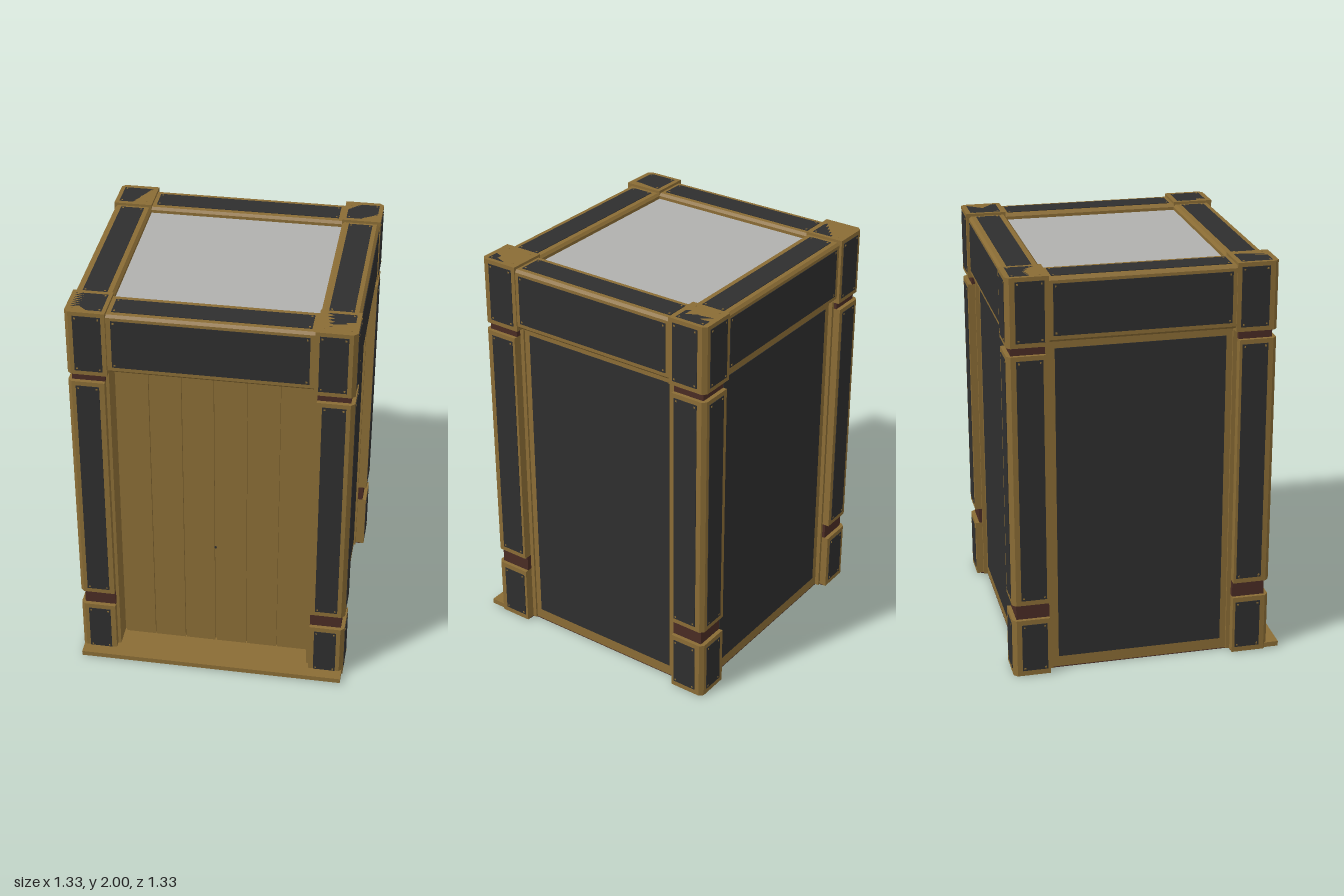
import * as THREE from 'three';

const mat = (name, color) => {
  const m = new THREE.MeshStandardMaterial({ color });
  m.name = name;
  return m;
};

export function createModel() {
  const gold = mat('bronze gold', 0x8a6c35);
  const dark = mat('charcoal panel', 0x2e2e2e);
  const brown = mat('dark brown', 0x4a2c24);
  const grey = mat('pale grey roof', 0xb0b0ae);

  const root = new THREE.Group();
  root.name = 'booth';
  // The body is centred on its own axis; the door sill reaches further forward
  const body = new THREE.Group();
  body.name = 'body';
  body.position.z = -0.03;
  root.add(body);

  const add = (parent, name, geometry, material) => {
    const m = new THREE.Mesh(geometry, material);
    m.name = name;
    parent.add(m);
    return m;
  };

  // Box from its minimum and maximum corners, given per axis
  const box = (parent, name, material, xs, ys, zs) => {
    const s = [xs, ys, zs].map(([a, b]) => Math.abs(b - a));
    const c = [xs, ys, zs].map(([a, b]) => (a + b) / 2);
    const m = add(parent, name, new THREE.BoxGeometry(...s), material);
    m.position.set(...c);
    return m;
  };

  // Thin dark plate facing +z, with a rivet in each corner
  const rivetGeo = new THREE.BoxGeometry(0.008, 0.008, 0.004);
  const panel = (parent, name, w, h, x, y, z, rx, ry, rivets = true) => {
    const g = new THREE.Group();
    g.name = name;
    add(g, 'panelPlate', new THREE.BoxGeometry(w, h, 0.005), dark);
    if (rivets) {
      for (const i of [-1, 1]) for (const j of [-1, 1]) {
        add(g, 'rivet', rivetGeo, gold).position.set(i * (w / 2 - 0.012), j * (h / 2 - 0.012), 0.002);
      }
    }
    g.position.set(x, y, z);
    g.rotation.set(rx, ry, 0);
    parent.add(g);
  };

  // Post block with a chamfered outer corner
  const postBlock = (parent, sx, sz, xi, zi, y0, y1) => {
    const xo = 0.663, zo = 0.635, c = 0.018;
    const pts = [[xi, zi], [xo, zi], [xo, zo - c], [xo - c, zo], [xi, zo]];
    const shape = new THREE.Shape(pts.map(([x, z]) => new THREE.Vector2(x * sx, -z * sz)));
    const geo = new THREE.ExtrudeGeometry(shape, { depth: y1 - y0, bevelEnabled: false });
    geo.rotateX(-Math.PI / 2);
    add(parent, 'postBlock', geo, gold).position.y = y0;
  };

  // Four corner posts: foot, shaft and cap joined by recessed necks
  const sections = [
    { y: [0.003, 0.3], py: [0.03, 0.275], xi: 0.49, zi: 0.455, px: 0.515, pz: 0.468 },
    { y: [0.38, 1.63], py: [0.405, 1.608], xi: 0.49, zi: 0.455, px: 0.515, pz: 0.468 },
    { y: [1.67, 2.0], py: [1.692, 1.98], xi: 0.475, zi: 0.437, px: 0.495, pz: 0.458 },
  ];
  for (const sx of [-1, 1]) for (const sz of [-1, 1]) {
    const post = new THREE.Group();
    post.name = 'cornerPost';
    body.add(post);
    for (const s of sections) {
      postBlock(post, sx, sz, s.xi, s.zi, ...s.y);
      const h = s.py[1] - s.py[0], y = (s.py[0] + s.py[1]) / 2;
      const w = 0.625 - s.px, d = 0.592 - s.pz;
      panel(post, 'postPanel', w, h, sx * (0.625 + s.px) / 2, y, sz * 0.635, 0, sz > 0 ? 0 : Math.PI);
      panel(post, 'postSidePanel', d, h, sx * 0.663, y, sz * (0.592 + s.pz) / 2, 0, sx * Math.PI / 2);
    }
    panel(post, 'postTopPanel', 0.15, 0.15, sx * 0.568, 2 - 0.0025, sz * 0.535, -Math.PI / 2, 0);
    for (const ys of [[0.3, 0.38], [1.63, 1.67]]) {
      box(post, 'postNeck', brown, [sx * 0.49, sx * 0.645], ys, [sz * 0.455, sz * 0.615]);
    }
    box(post, 'postCore', gold, [sx * 0.475, sx * 0.62], [0.003, 1.67], [sz * 0.435, sz * 0.6]);
  }

  // Walls: gold core with one large dark panel on the sides and back
  box(body, 'wallCore', gold, [-0.61, 0.61], [0.004, 1.69], [-0.58, 0.485]);
  for (const sx of [-1, 1]) {
    panel(body, 'sideWallPanel', 0.81, 1.58, sx * 0.61, 0.85, 0, 0, sx * Math.PI / 2, false);
  }
  panel(body, 'backWallPanel', 0.88, 1.58, 0, 0.85, -0.58, 0, Math.PI, false);

  // Floor underside
  box(body, 'floorBase', brown, [-0.61, 0.61], [0, 0.005], [-0.58, 0.58]);
  for (const sx of [-1, 1]) for (const sz of [-1, 1]) {
    box(body, 'postFoot', brown, [sx * 0.49, sx * 0.645], [0.0005, 0.005], [sz * 0.455, sz * 0.615]);
  }

  // Double door of six planks, with lintel, keyhole and sill
  const door = new THREE.Group();
  door.name = 'door';
  body.add(door);
  for (let i = 0; i < 6; i++) {
    const x0 = -0.468 + i * 0.156;
    const l = i === 3 ? 0.005 : 0.0025, r = i === 2 ? 0.005 : 0.0025;
    box(door, 'doorPlank', gold, [x0 + l, x0 + 0.156 - r], [0.03, 1.65], [0.48, 0.5]);
  }
  box(door, 'doorLintel', gold, [-0.475, 0.475], [1.653, 1.678], [0.48, 0.52]);
  const keyhole = add(door, 'keyhole', new THREE.CylinderGeometry(0.006, 0.006, 0.006, 10), dark);
  keyhole.rotation.x = Math.PI / 2;
  keyhole.position.set(0, 0.635, 0.5);
  box(body, 'doorSill', gold, [-0.658, 0.658], [0.007, 0.032], [0.48, 0.695]);

  // Top beams: chamfered profile, built facing +x and turned to each side
  const beam = (name, inner, outer, length, angle) => {
    const g = new THREE.Group();
    g.name = name;
    const y0 = 1.685, y1 = 1.987, c = 0.012;
    const profile = [[inner, y0], [outer - c, y0], [outer, y0 + c], [outer, y1 - c],
      [outer - c, y1], [inner + c, y1], [inner, y1 - c]];
    const geo = new THREE.ExtrudeGeometry(
      new THREE.Shape(profile.map((p) => new THREE.Vector2(...p))),
      { depth: length, bevelEnabled: false });
    geo.translate(0, 0, -length / 2);
    add(g, 'beamBody', geo, gold);
    panel(g, 'beamFacePanel', length - 0.045, 0.245, outer, 1.838, 0, 0, Math.PI / 2);
    panel(g, 'beamTopPanel', 0.115, length - 0.04, (inner + outer) / 2 + 0.001, y1, 0, -Math.PI / 2, 0);
    g.rotation.y = angle;
    body.add(g);
  };
  beam('leftBeam', 0.475, 0.658, 0.88, 0);
  beam('rightBeam', 0.475, 0.658, 0.88, Math.PI);
  beam('frontBeam', 0.435, 0.622, 0.95, -Math.PI / 2);
  beam('backBeam', 0.435, 0.622, 0.95, Math.PI / 2);

  // Flat roof between the beams
  box(body, 'roofPanel', grey, [-0.476, 0.476], [1.94, 1.96], [-0.436, 0.436]);

  return root;
}
